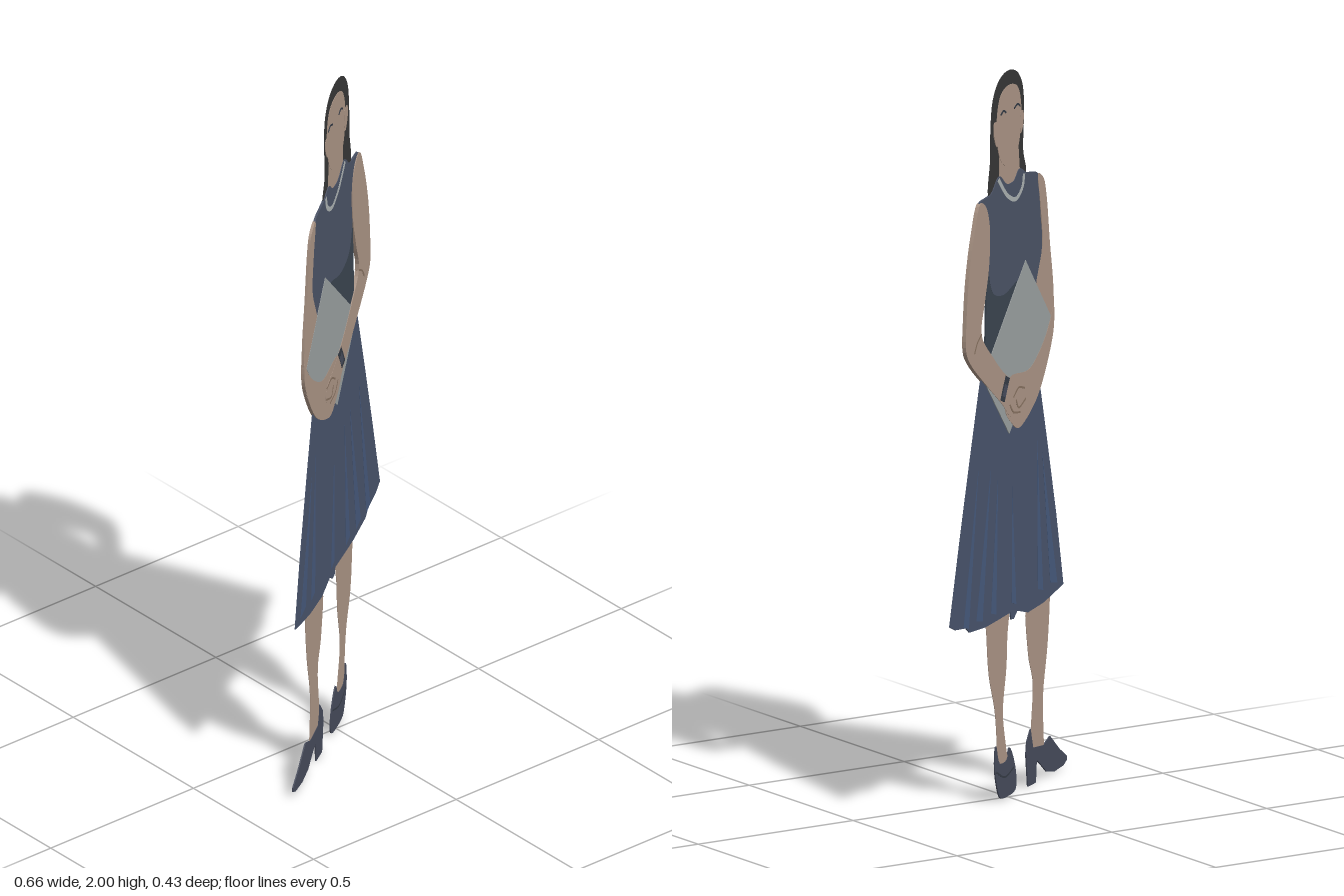
import * as THREE from 'three';

const SLOPE = 0.64;   // the cut-out stands turned: z = -SLOPE * x
const STEP = 0.0012;  // thickness added per layer, equal on both faces

const COLORS = {
  skin: 0xa99384, skinLine: 0x85705f, hair: 0x363636, dress: 0x4a5265, waist: 0x3a444f,
  skirt: 0x47526a, fold: 0x45587a, folder: 0x999e9e, pearl: 0xaab0b0, shoe: 0x454a5a, dark: 0x343a44,
};
const materials = Object.fromEntries(Object.entries(COLORS).map(([name, color]) =>
  [name, new THREE.MeshStandardMaterial({ color, side: THREE.DoubleSide })]));

const toVectors = (pts) => pts.map(([x, y]) => new THREE.Vector3(x, y, 0));

// Smooth outline through the points
function smooth(pts, closed = true, perPoint = 5) {
  const curve = new THREE.CatmullRomCurve3(toVectors(pts), closed, 'centripetal');
  const out = curve.getPoints(pts.length * perPoint).map((p) => [p.x, p.y]);
  if (closed) out.pop();
  return out;
}

// Constant-width band along an open path
function band(pts, width) {
  const path = smooth(pts, false, 6);
  const left = [], right = [];
  path.forEach(([x, y], i) => {
    const a = path[Math.max(i - 1, 0)], b = path[Math.min(i + 1, path.length - 1)];
    const dx = b[0] - a[0], dy = b[1] - a[1], l = Math.hypot(dx, dy) || 1;
    left.push([x - dy / l * width / 2, y + dx / l * width / 2]);
    right.unshift([x + dy / l * width / 2, y - dx / l * width / 2]);
  });
  return left.concat(right);
}

export function createModel() {
  const group = new THREE.Group();
  group.name = 'standingWoman';

  // One flat layer, visible from both faces, laid into the turned plane
  function add(name, color, layer, pts) {
    const shape = new THREE.Shape(pts.map(([x, y]) => new THREE.Vector2(x, y)));
    const depth = STEP * layer;
    const geometry = new THREE.ExtrudeGeometry(shape, { depth, bevelEnabled: false });
    geometry.translate(0, 0, -depth / 2);
    const pos = geometry.attributes.position;
    for (let i = 0; i < pos.count; i++) {
      const x = pos.getX(i), d = pos.getZ(i);
      pos.setXYZ(i, x + d * 0.54, pos.getY(i), -SLOPE * x + d * 0.84);
    }
    geometry.computeVertexNormals();
    const mesh = new THREE.Mesh(geometry, materials[color]);
    mesh.name = name;
    group.add(mesh);
  }
  const line = (name, color, layer, width, pts) => add(name, color, layer, band(pts, width));

  // Head
  add('hair', 'hair', 1, smooth([[0, 2], [0.05, 1.985], [0.085, 1.94], [0.098, 1.87], [0.1, 1.78],
    [0.11, 1.68], [0.06, 1.67], [-0.05, 1.67], [-0.1, 1.695], [-0.085, 1.76], [-0.09, 1.88],
    [-0.08, 1.945], [-0.05, 1.985]]));
  add('neck', 'skin', 2, [[-0.055, 1.8], [0.05, 1.8], [0.052, 1.72], [0.03, 1.67], [-0.05, 1.67], [-0.065, 1.71]]);
  add('face', 'skin', 3, smooth([[-0.005, 1.96], [0.04, 1.945], [0.062, 1.9], [0.064, 1.82], [0.045, 1.765],
    [0, 1.735], [-0.045, 1.76], [-0.068, 1.82], [-0.07, 1.9], [-0.05, 1.945]]));
  add('leftEar', 'skin', 4, smooth([[0.06, 1.87], [0.08, 1.875], [0.083, 1.84], [0.066, 1.805]]));
  add('rightEar', 'skin', 4, smooth([[-0.068, 1.87], [-0.082, 1.87], [-0.082, 1.83], [-0.068, 1.81]]));
  line('leftBrow', 'dark', 5, 0.005, [[0.015, 1.888], [0.03, 1.896], [0.045, 1.888]]);
  line('rightBrow', 'dark', 5, 0.005, [[-0.065, 1.886], [-0.05, 1.895], [-0.03, 1.888]]);

  // Legs and shoes
  add('rightLeg', 'skin', 1, smooth([[-0.235, 0.53], [-0.235, 0.48], [-0.222, 0.36], [-0.197, 0.23], [-0.2, 0.12],
    [-0.2, 0.08], [-0.13, 0.08], [-0.13, 0.15], [-0.14, 0.28], [-0.115, 0.36], [-0.11, 0.53]]));
  add('leftLeg', 'skin', 1, smooth([[0, 0.53], [0.005, 0.44], [0.01, 0.36], [0.03, 0.24], [0.012, 0.14],
    [0, 0.08], [0.065, 0.08], [0.063, 0.15], [0.075, 0.255], [0.108, 0.36], [0.12, 0.46], [0.12, 0.53]]));
  add('rightShoe', 'shoe', 3, [[-0.33, 0.03], [-0.29, 0.058], [-0.235, 0.108], [-0.2, 0.092], [-0.14, 0.1],
    [-0.125, 0.155], [-0.105, 0.125], [-0.1, 0.09], [-0.11, 0], [-0.155, 0], [-0.16, 0.06], [-0.18, 0.045],
    [-0.215, 0.015], [-0.26, 0.004], [-0.31, 0.008], [-0.33, 0.018]]);
  add('leftShoe', 'shoe', 3, smooth([[-0.045, 0.03], [-0.033, 0.09], [-0.005, 0.135], [0.01, 0.105], [0.05, 0.105],
    [0.07, 0.157], [0.077, 0.1], [0.06, 0.03], [0.045, 0.008], [0, 0.003], [-0.038, 0.01]]));
  line('shoeStrap', 'dark', 4, 0.005, [[-0.03, 0.075], [0.02, 0.06], [0.07, 0.085]]);

  // Skirt with its fold tints
  add('skirt', 'skirt', 3, [[-0.14, 1.25], [0.132, 1.25], [0.16, 1.17], [0.22, 0.96], [0.275, 0.76], [0.33, 0.55],
    [0.3, 0.535], [0.24, 0.525], [0.22, 0.508], [0.13, 0.5], [0.06, 0.502], [-0.01, 0.505], [-0.015, 0.485],
    [-0.03, 0.483], [-0.05, 0.5], [-0.11, 0.48], [-0.2, 0.485], [-0.26, 0.497], [-0.31, 0.508],
    [-0.27, 0.71], [-0.22, 0.92], [-0.175, 1.1]]);
  const folds = [[-0.19, 0.9, -0.255, 0.04], [-0.16, 0.95, -0.18, 0.03], [-0.02, 0.85, -0.03, 0.025],
    [0.06, 0.9, 0.085, 0.03], [0.1, 0.93, 0.165, 0.035], [0.17, 0.95, 0.24, 0.03]];
  for (const [x, top, hem, w] of folds) {
    add('skirtFold', 'fold', 4, [[x, top], [hem + w / 2, 0.53], [hem - w / 2, 0.52]]);
  }

  // Bodice
  add('waist', 'waist', 4, [[-0.16, 1.46], [0.12, 1.5], [0.127, 1.38], [0.13, 1.29], [0.14, 1.215], [-0.155, 1.2]]);
  add('bodice', 'dress', 5, smooth([[-0.165, 1.675], [-0.1, 1.695], [-0.06, 1.715], [-0.03, 1.69], [0.01, 1.69],
    [0.055, 1.722], [0.1, 1.685], [0.165, 1.675], [0.125, 1.63], [0.112, 1.56], [0.115, 1.48], [0.09, 1.41],
    [0.03, 1.39], [-0.06, 1.41], [-0.15, 1.37], [-0.187, 1.47], [-0.178, 1.56], [-0.17, 1.63]]));
  line('necklace', 'pearl', 6, 0.012, [[-0.085, 1.695], [-0.075, 1.66], [-0.04, 1.637], [0.005, 1.655],
    [0.04, 1.69], [0.06, 1.715]]);

  // Right arm is under the folder, its forearm and hand wrap over it
  add('rightUpperArm', 'skin', 6, smooth([[-0.165, 1.675], [-0.195, 1.655], [-0.21, 1.61], [-0.23, 1.47], [-0.25, 1.34],
    [-0.25, 1.25], [-0.22, 1.16], [-0.15, 1.16], [-0.15, 1.36], [-0.187, 1.47], [-0.178, 1.58]]));
  add('folder', 'folder', 7, [[-0.092, 1.455], [-0.235, 1.265], [-0.2, 1.21], [0, 1.0], [0.15, 1.19]]);
  add('rightForearm', 'skin', 8, smooth([[-0.25, 1.29], [-0.25, 1.23], [-0.22, 1.155], [-0.16, 1.065], [-0.09, 1.015],
    [-0.05, 1.003], [-0.02, 1.02], [0.02, 1.06], [0.03, 1.11], [0, 1.155], [-0.11, 1.15], [-0.17, 1.185], [-0.225, 1.245]]));

  // Left arm crosses in front
  add('leftArm', 'skin', 9, smooth([[0.165, 1.675], [0.2, 1.6], [0.23, 1.49], [0.245, 1.37], [0.246, 1.285],
    [0.22, 1.245], [0.13, 1.165], [0.04, 1.09], [-0.01, 1.043], [-0.06, 1.045], [-0.09, 1.07], [-0.085, 1.105],
    [-0.03, 1.135], [0.025, 1.17], [0.095, 1.235], [0.16, 1.315], [0.14, 1.4], [0.117, 1.49], [0.113, 1.6],
    [0.135, 1.66]]));
  line('watchBand', 'dark', 10, 0.026, [[0.012, 1.16], [0.028, 1.13], [0.042, 1.1]]);
  add('watchFace', 'shoe', 11, [[0.012, 1.135], [0.028, 1.145], [0.042, 1.115], [0.026, 1.106]]);

  // Fingers and arm creases
  const creases = [
    [[-0.085, 1.105], [-0.05, 1.115], [-0.02, 1.095]],
    [[-0.09, 1.075], [-0.05, 1.06], [-0.035, 1.085]],
    [[-0.06, 1.045], [-0.02, 1.055], [0.0, 1.08]],
    [[0.16, 1.315], [0.185, 1.295], [0.2, 1.27]],
  ];
  for (const c of creases) line('crease', 'skinLine', 10, 0.005, c);

  return group;
}
